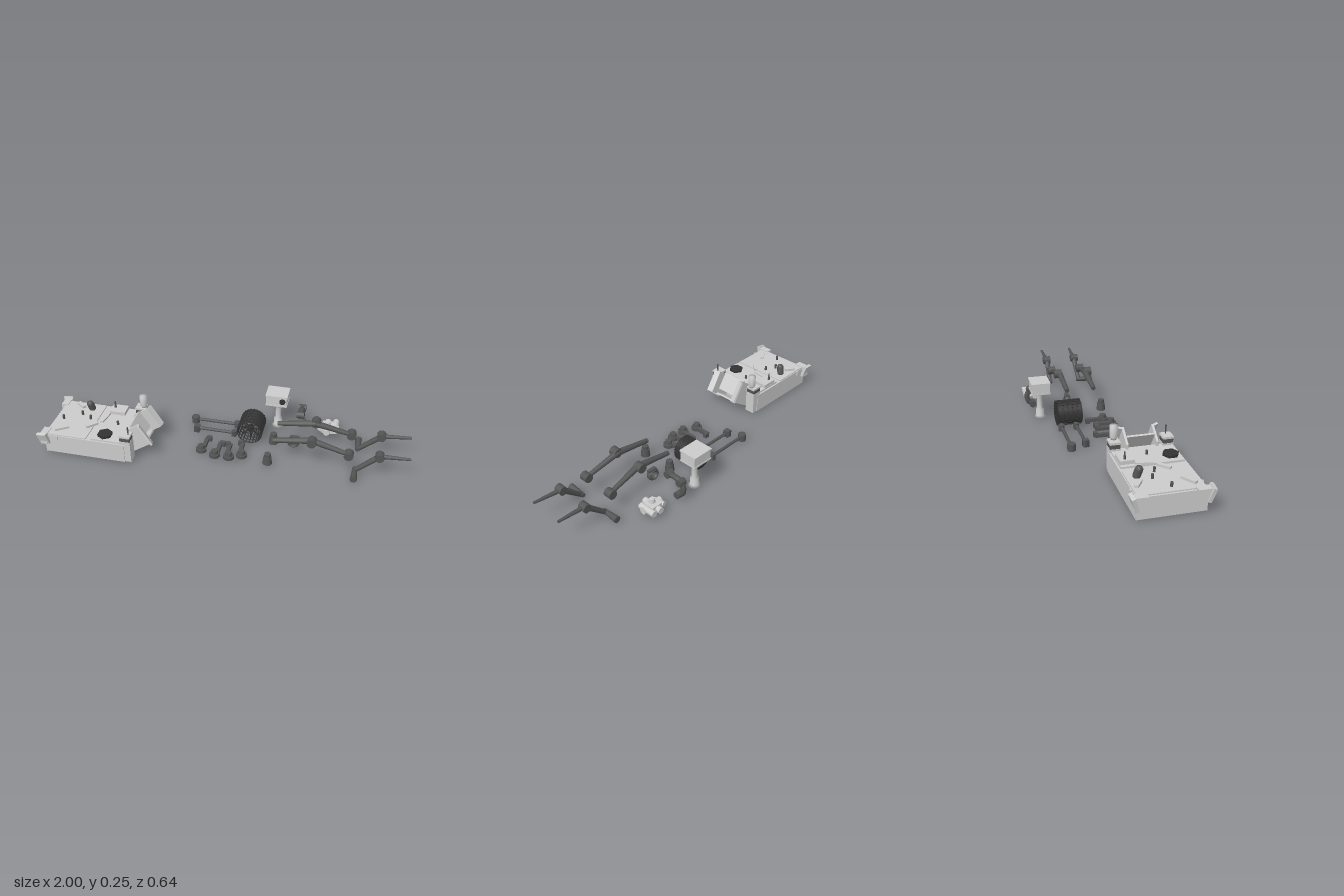
import * as THREE from 'three';

const V = (x, y, z) => new THREE.Vector3(x, y, z);

export function createModel() {
  const root = new THREE.Group();
  const make = (color, side = THREE.FrontSide) => new THREE.MeshStandardMaterial({ color, side });
  const grey = make(0xcccccc), dark = make(0x555555), black = make(0x333333);

  const add = (name, geo, mat, x = 0, y = 0, z = 0, parent = root) => {
    const m = new THREE.Mesh(geo, mat);
    m.name = name;
    m.position.set(x, y, z);
    parent.add(m);
    return m;
  };
  // box given by its minimum and maximum corners
  const box = (name, mat, a, b) => add(name, new THREE.BoxGeometry(b[0] - a[0], b[1] - a[1], b[2] - a[2]), mat,
    (a[0] + b[0]) / 2, (a[1] + b[1]) / 2, (a[2] + b[2]) / 2);
  const cyl = (name, mat, r1, r2, h, x, y, z, n = 20) => add(name, new THREE.CylinderGeometry(r1, r2, h, n), mat, x, y, z);
  // tapered round rod between two points
  const rod = (name, mat, a, b, r1, r2 = r1, n = 12) => {
    const d = b.clone().sub(a), mid = a.clone().add(b).multiplyScalar(0.5);
    const m = cyl(name, mat, r2, r1, d.length(), mid.x, mid.y, mid.z, n);
    m.quaternion.setFromUnitVectors(V(0, 1, 0), d.normalize());
    return m;
  };
  // flat plank in the xy plane, from p to q, between two z values
  const plank = (name, mat, p, q, z0, z1, t) => {
    const len = Math.hypot(q[0] - p[0], q[1] - p[1]);
    const m = add(name, new THREE.BoxGeometry(len, t, z1 - z0), mat, (p[0] + q[0]) / 2, (p[1] + q[1]) / 2, (z0 + z1) / 2);
    m.rotation.z = Math.atan2(q[1] - p[1], q[0] - p[0]);
    return m;
  };

  // chassis box with deck
  box('chassis', grey, [-0.97, 0.008, -0.05], [-0.51, 0.12, 0.288]);
  box('deckPlate', grey, [-0.96, 0.12, -0.045], [-0.73, 0.126, 0.283]);
  box('rearDeck', grey, [-0.7, 0.12, -0.04], [-0.51, 0.13, 0.28]);

  // flared brackets at the end corners
  for (const s of [-1, 1]) {
    const c = 0.118;
    box('cornerBlock', grey, [-0.99, 0.065, c + s * 0.15 - 0.035], [-0.95, 0.13, c + s * 0.15 + 0.035]);
    const flap = add('cornerFlap', new THREE.BoxGeometry(0.055, 0.075, 0.018), grey, -0.972, 0.1, c + s * 0.18);
    flap.rotation.x = s * 0.3;
    flap.rotation.z = 0.12;
    box('sideRail', grey, [-0.9, 0.095, c + s * 0.17 - 0.006], [-0.89, 0.122, c + s * 0.17 + 0.006]);
    // equipment boxes beside the rear cradle
    const z = c + s * 0.137;
    box('rearBox', grey, [-0.535, 0.01, z - 0.028], [-0.475, 0.14, z + 0.028]);
    box('rearBoxBand', dark, [-0.533, 0.14, z - 0.026], [-0.477, 0.163, z + 0.026]);
    box('rearBoxLid', grey, [-0.535, 0.163, z - 0.028], [-0.475, 0.175, z + 0.028]);
  }

  // deck equipment
  box('deckBox', grey, [-0.68, 0.125, -0.038], [-0.59, 0.15, 0.035]);
  cyl('deckAntenna', dark, 0.003, 0.007, 0.04, -0.66, 0.17, -0.01, 8);
  cyl('antennaDisc', black, 0.042, 0.042, 0.014, -0.635, 0.136, 0.23, 6);
  const latch = add('foldedCamera', new THREE.CapsuleGeometry(0.02, 0.035, 4, 10), dark, -0.8, 0.15, 0.01);
  latch.rotation.set(0.25, 0, 0.15);
  for (const [x, z, l, a] of [[-0.89, 0.225, 0.08, 0.6], [-0.74, 0.16, 0.07, 0.8], [-0.87, -0.01, 0.06, -0.6], [-0.69, 0.08, 0.09, 1.4]]) {
    const m = add('deckBar', new THREE.BoxGeometry(l, 0.014, 0.02), grey, x, 0.132, z);
    m.rotation.y = a;
  }
  for (const [x, z] of [[-0.92, 0.13], [-0.77, 0.1], [-0.83, 0.07], [-0.6, 0.12]])
    cyl('deckPost', dark, 0.007, 0.007, 0.025, x, 0.138, z, 10);

  // upright canister and whip antenna on the rear boxes
  add('canister', new THREE.LatheGeometry([[0, 0.175], [0.014, 0.175], [0.021, 0.19], [0.021, 0.25], [0, 0.25]]
    .map(p => new THREE.Vector2(...p)), 20), grey, -0.49, 0, -0.016);
  cyl('whipAntenna', dark, 0.005, 0.003, 0.046, -0.49, 0.198, 0.255, 8);

  // tilted power cradle: two cheeks, flared lips and inner panels
  const cheek = new THREE.Shape([[-0.53, 0.01], [-0.51, 0.01], [-0.375, 0.1], [-0.445, 0.212], [-0.53, 0.155]]
    .map(p => new THREE.Vector2(...p)));
  for (const s of [-1, 1]) {
    const z = 0.122 + s * 0.078;
    add('cradleCheek', new THREE.ExtrudeGeometry(cheek, { depth: 0.012, bevelEnabled: false }), grey, 0, 0, z - 0.006);
    const lip = plank('cradleLip', grey, [-0.375, 0.1], [-0.445, 0.21], z + s * 0.013 - 0.017, z + s * 0.013 + 0.017, 0.012);
    lip.rotation.order = 'ZXY';
    lip.rotation.x = s * 0.35;
  }
  plank('cradleUpperPanel', grey, [-0.44, 0.095], [-0.5, 0.185], 0.05, 0.195, 0.01);
  plank('cradleFloor', grey, [-0.51, 0.013], [-0.42, 0.073], 0.045, 0.2, 0.01);

  // wheel: one-sided drum and dish, inner ribs, hoops and spokes
  const wheel = new THREE.Group();
  wheel.name = 'wheel';
  wheel.position.set(0.115, 0.073, -0.11);
  root.add(wheel);
  const R = 0.07, W = 0.138;
  const skin = add('wheelDrum', new THREE.CylinderGeometry(R, R, W, 32, 1, true), black, 0, 0, 0, wheel);
  skin.rotation.x = Math.PI / 2;
  add('wheelDish', new THREE.CircleGeometry(R, 32), black, 0, 0, -W / 2, wheel).rotation.y = Math.PI;
  for (let i = 0; i < 24; i++) {
    const a = i / 24 * Math.PI * 2;
    add('wheelRib', new THREE.BoxGeometry(0.005, 0.004, W), black, Math.cos(a) * R, Math.sin(a) * R, 0, wheel).rotation.z = a;
  }
  for (let i = 0; i < 6; i++)
    add('wheelHoop', new THREE.TorusGeometry(R - 0.001, 0.003, 6, 32), black, 0, 0, (i / 5 - 0.5) * (W - 0.006), wheel);
  for (let i = 0; i < 8; i++) {
    const a = i / 8 * Math.PI * 2;
    add('wheelSpoke', new THREE.BoxGeometry(0.056, 0.005, 0.012), black, Math.cos(a) * 0.041, Math.sin(a) * 0.041, 0.02, wheel).rotation.z = a;
  }
  add('wheelHub', new THREE.CylinderGeometry(0.015, 0.015, 0.04, 16), black, 0, 0, 0.02, wheel).rotation.x = Math.PI / 2;

  // camera mast
  add('mastPost', new THREE.LatheGeometry([[0, 0.004], [0.036, 0.004], [0.024, 0.018], [0.024, 0.055], [0.016, 0.062],
    [0.016, 0.14], [0.03, 0.145], [0.03, 0.17], [0, 0.17]].map(p => new THREE.Vector2(...p)), 20), grey, 0.245, 0, -0.25);
  box('cameraHead', grey, [0.178, 0.172, -0.3], [0.296, 0.228, -0.2]);
  box('cameraHeadLid', grey, [0.174, 0.226, -0.305], [0.3, 0.234, -0.196]);
  box('cameraHeadTray', grey, [0.176, 0.166, -0.303], [0.298, 0.174, -0.198]);
  const lens = cyl('lens', black, 0.017, 0.017, 0.012, 0.272, 0.202, -0.199);
  lens.rotation.x = Math.PI / 2;

  // curved robotic arm, loop in the yz plane
  const hook = new THREE.CatmullRomCurve3([V(0.38, 0.13, -0.2), V(0.38, 0.133, -0.25), V(0.38, 0.122, -0.285),
    V(0.38, 0.09, -0.302), V(0.38, 0.055, -0.295), V(0.38, 0.035, -0.27)]);
  add('curvedArm', new THREE.TubeGeometry(hook, 24, 0.015, 10), dark);
  for (const t of [0, 0.4, 1]) {
    const p = hook.getPoint(t);
    cyl('curvedArmJoint', dark, 0.02, 0.02, 0.042, p.x, p.y, p.z, 14).rotation.z = Math.PI / 2;
  }

  // instrument turret
  box('turretCore', grey, [0.505, 0.022, -0.275], [0.575, 0.06, -0.205]);
  rod('turretDrum', grey, V(0.48, 0.04, -0.235), V(0.6, 0.04, -0.235), 0.02);
  rod('turretDrum', grey, V(0.535, 0.04, -0.18), V(0.535, 0.04, -0.3), 0.018);
  rod('turretDrill', grey, V(0.58, 0.045, -0.2), V(0.58, 0.045, -0.3), 0.018);
  rod('turretProbe', grey, V(0.5, 0.04, -0.21), V(0.49, 0.04, -0.275), 0.014);
  cyl('turretCap', grey, 0.014, 0.018, 0.025, 0.535, 0.07, -0.235, 14);

  // suspension arms, one per side
  for (const s of [-1, 1]) {
    const z = s * 0.08;
    const hub = (x, y, r, w = 0.045) => rod('suspensionHub', dark, V(x, y, z + s * 0.012 - w / 2), V(x, y, z + s * 0.012 + w / 2), r, r, 16);
    // front rocker
    rod('rockerArm', dark, V(0.27, 0.138, z), V(0.48, 0.17, z), 0.013, 0.018);
    rod('rockerArm', dark, V(0.48, 0.17, z), V(0.68, 0.12, z + s * 0.01), 0.018, 0.012);
    hub(0.48, 0.17, 0.026);
    hub(0.68, 0.12, 0.025);
    // rear bogie with stub axle
    rod('bogieArm', dark, V(0.72, 0.025, z + s * 0.015), V(0.84, 0.135, z + s * 0.01), 0.013, 0.016);
    rod('bogieArm', dark, V(0.84, 0.135, z + s * 0.01), V(1, 0.147, z + s * 0.015), 0.013, 0.007);
    hub(0.84, 0.135, 0.024);
    rod('stubAxle', dark, V(0.72, 0.028, z), V(0.72, 0.028, s * 0.182), 0.012, 0.019);
  }
  // loose pivot housings and clamp ring
  for (const z of [-0.07, 0.12]) {
    cyl('pivotHousing', dark, 0.022, 0.026, 0.045, 0.25, 0.03, z, 16);
    cyl('pivotCap', dark, 0.018, 0.018, 0.02, 0.25, 0.062, z, 16);
  }
  add('clampRing', new THREE.TorusGeometry(0.027, 0.008, 10, 24), dark, 0.365, 0.04, -0.06).scale.z = 2;
  box('clampLug', dark, [0.345, 0.064, -0.07], [0.395, 0.078, -0.05]);

  // straight links
  for (const [x, z, n] of [[-0.23, -0.17, 16], [-0.2, -0.085, 4]]) {
    rod('linkRod', dark, V(x, 0.028, z), V(0.02, 0.028, z), 0.009);
    cyl('linkHead', dark, 0.023, 0.023, 0.04, x, 0.025, z, n).rotation.y = Math.PI / 4;
    cyl('linkEnd', dark, 0.018, 0.018, 0.036, 0.02, 0.025, z, n).rotation.y = Math.PI / 4;
  }

  // four steering brackets
  [[-0.13, 0.09, 1], [-0.047, 0.12, 1], [0.033, 0.12, -1], [0.1, 0.09, -1]].forEach(([x, z, s]) => {
    const bx = x + s * 0.012;
    box('steeringArm', dark, [bx - 0.011, 0.01, z - 0.1], [bx + 0.011, 0.03, z - 0.01]);
    const ex = bx + s * 0.012;
    box('steeringFoot', dark, [ex - 0.014, 0.008, z - 0.108], [ex + 0.014, 0.036, z - 0.085]);
    cyl('steeringFlange', dark, 0.03, 0.03, 0.018, x, 0.014, z);
    cyl('steeringMotor', dark, 0.018, 0.021, 0.022, x, 0.033, z);
  });

  return root;
}
